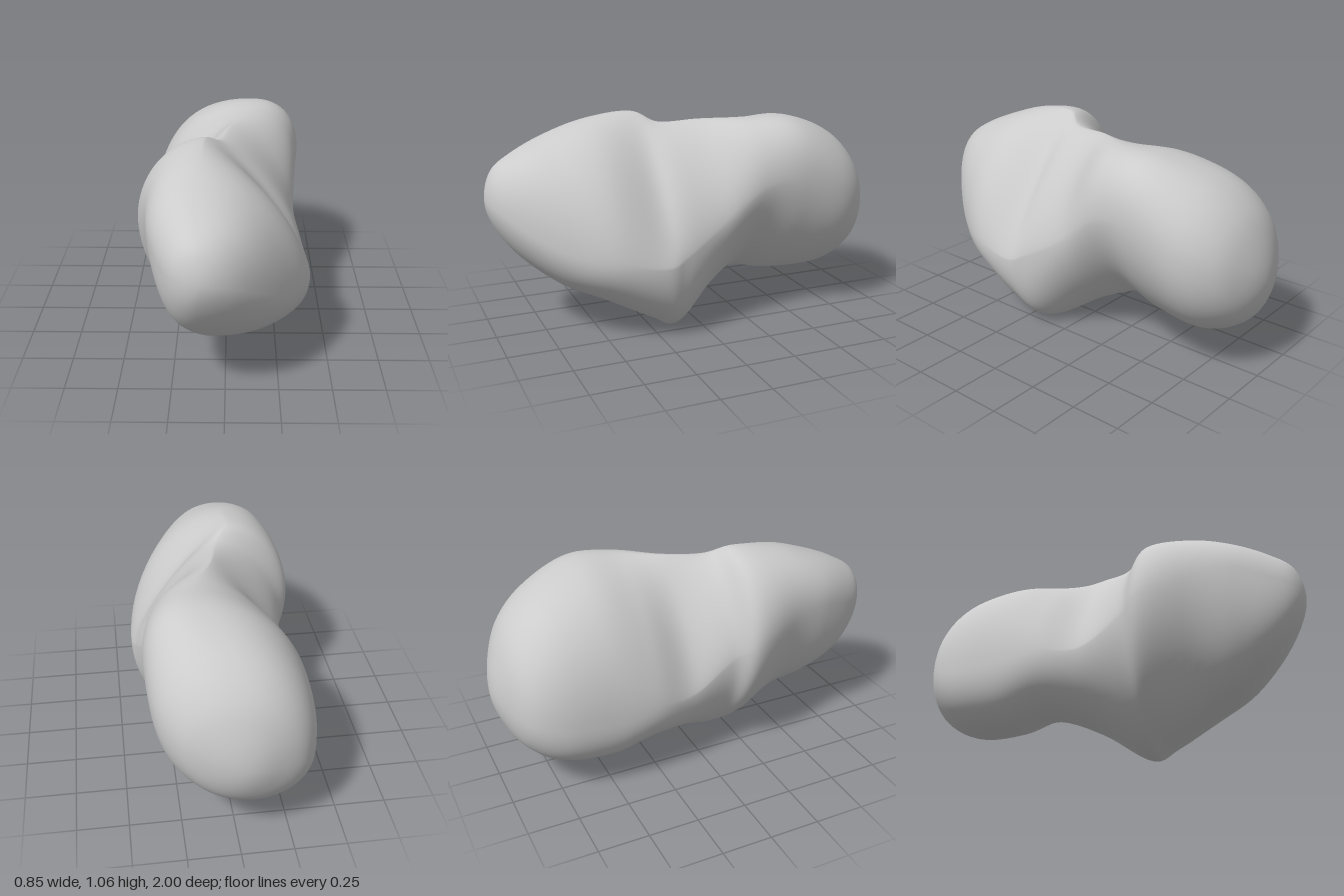
import * as THREE from 'three';
import { mergeVertices } from 'three/addons/utils/BufferGeometryUtils.js';

// Cross-sections along z. Columns:
// z, xLow, xHigh, yBottom, yTop, x of top, x of bottom, y of xLow side, y of xHigh side,
// then the roundness of the four quadrants: +x+y, -x+y, -x-y, +x-y (2 is elliptic, less is flatter).
const BACK_LOBE = [
  [-1.00, -0.02, -0.02, 0.49, 0.49, -0.02, -0.02, 0.49, 0.49, 2, 2, 2, 2],
  [-0.97, -0.16, 0.13, 0.35, 0.66, 0.00, -0.03, 0.48, 0.53, 2, 2, 2, 2],
  [-0.89, -0.31, 0.27, 0.23, 0.82, 0.02, -0.08, 0.45, 0.58, 2.1, 2.1, 2.1, 2],
  [-0.74, -0.385, 0.36, 0.15, 0.945, 0.06, -0.13, 0.41, 0.64, 2.2, 2.2, 2.3, 2],
  [-0.50, -0.41, 0.385, 0.13, 1.03, 0.14, -0.16, 0.40, 0.75, 2.3, 2.1, 2.3, 1.8],
  [-0.28, -0.41, 0.365, 0.17, 1.03, 0.12, -0.14, 0.42, 0.72, 2.1, 1.65, 2.2, 1.6],
  [-0.07, -0.37, 0.35, 0.11, 1.02, 0.02, -0.04, 0.43, 0.54, 1.55, 1.25, 2, 1.85],
];
const FRONT_LOBE = [
  [0.13, -0.37, 0.39, 0.00, 1.01, -0.03, 0.08, 0.56, 0.42, 1.4, 1.6, 1.9, 2.4],
  [0.25, -0.43, 0.415, 0.045, 1.06, -0.10, 0.07, 0.64, 0.38, 1.25, 1.9, 1.9, 2.25],
  [0.48, -0.375, 0.39, 0.155, 1.03, -0.12, 0.00, 0.75, 0.42, 1.65, 2.2, 1.7, 2.1],
  [0.68, -0.345, 0.285, 0.245, 0.965, -0.13, -0.06, 0.75, 0.47, 2, 2.2, 1.9, 2.2],
  [0.85, -0.285, 0.155, 0.38, 0.89, -0.12, -0.10, 0.70, 0.56, 2.2, 2.1, 2.3, 2.1],
  [0.96, -0.21, 0.03, 0.53, 0.81, -0.11, -0.11, 0.68, 0.64, 2, 2, 2.2, 2],
  [1.00, -0.10, -0.10, 0.67, 0.67, -0.10, -0.10, 0.67, 0.67, 2, 2, 2, 2],
];
const SECTIONS = [...BACK_LOBE, ...FRONT_LOBE];
const LAST = SECTIONS.length - 1;

// A section, or one mirrored through the tip so that both ends close round
function row(k) {
  if (k >= 0 && k <= LAST) return SECTIONS[k];
  const tip = SECTIONS[k < 0 ? 0 : LAST], next = SECTIONS[k < 0 ? 1 : LAST - 1];
  return tip.map((v, c) => (c === 0 ? next[c] : 2 * v - next[c]));
}

// Smooth blend through all sections, column by column
function sectionAt(t) {
  const i = Math.min(Math.floor(t), LAST - 1), u = t - i;
  const [p, q, r, s] = [row(i - 1), row(i), row(i + 1), row(i + 2)];
  return q.map((b, c) => {
    const a = p[c], d = r[c], e = s[c];
    return b + 0.5 * u * (d - a + u * (2 * a - 5 * b + 4 * d - e + u * (3 * (b - d) + e - a)));
  });
}

// Four superelliptic arcs joining the extreme points of a section
function outlinePoint([z, xl, xh, yb, yt, xt, xb, yl, yh, ...roundness], angle) {
  const c = Math.cos(angle), s = Math.sin(angle);
  const n = roundness[Math.floor(angle / (Math.PI / 2))];
  const xMid = s >= 0 ? xt : xb, yMid = c >= 0 ? yh : yl;
  const x = xMid + ((c >= 0 ? xh : xl) - xMid) * Math.abs(c) ** (2 / n);
  const y = yMid + ((s >= 0 ? yt : yb) - yMid) * Math.abs(s) ** (2 / n);
  return [x, y, z];
}

function loftGeometry(rings, sides) {
  const positions = [], index = [];
  for (let i = 0; i <= rings; i++) {
    const section = sectionAt(i / rings * LAST);
    for (let j = 0; j < sides; j++) {
      positions.push(...outlinePoint(section, j / sides * Math.PI * 2));
    }
  }
  for (let i = 0; i < rings; i++) {
    for (let j = 0; j < sides; j++) {
      const a = i * sides + j, b = i * sides + (j + 1) % sides;
      if (i > 0) index.push(a, b, a + sides);
      if (i < rings - 1) index.push(b, b + sides, a + sides);
    }
  }
  const geometry = new THREE.BufferGeometry();
  geometry.setAttribute('position', new THREE.Float32BufferAttribute(positions, 3));
  geometry.setIndex(index);
  const merged = mergeVertices(geometry, 1e-5);
  merged.computeVertexNormals();
  return merged;
}

export function createModel() {
  const group = new THREE.Group();
  group.name = 'asteroid';
  // Two-lobed rock body with a pinched waist
  const rock = new THREE.Mesh(
    loftGeometry(104, 80),
    new THREE.MeshStandardMaterial({ color: 0xcccccc }),
  );
  rock.name = 'rockBody';
  group.add(rock);
  return group;
}
